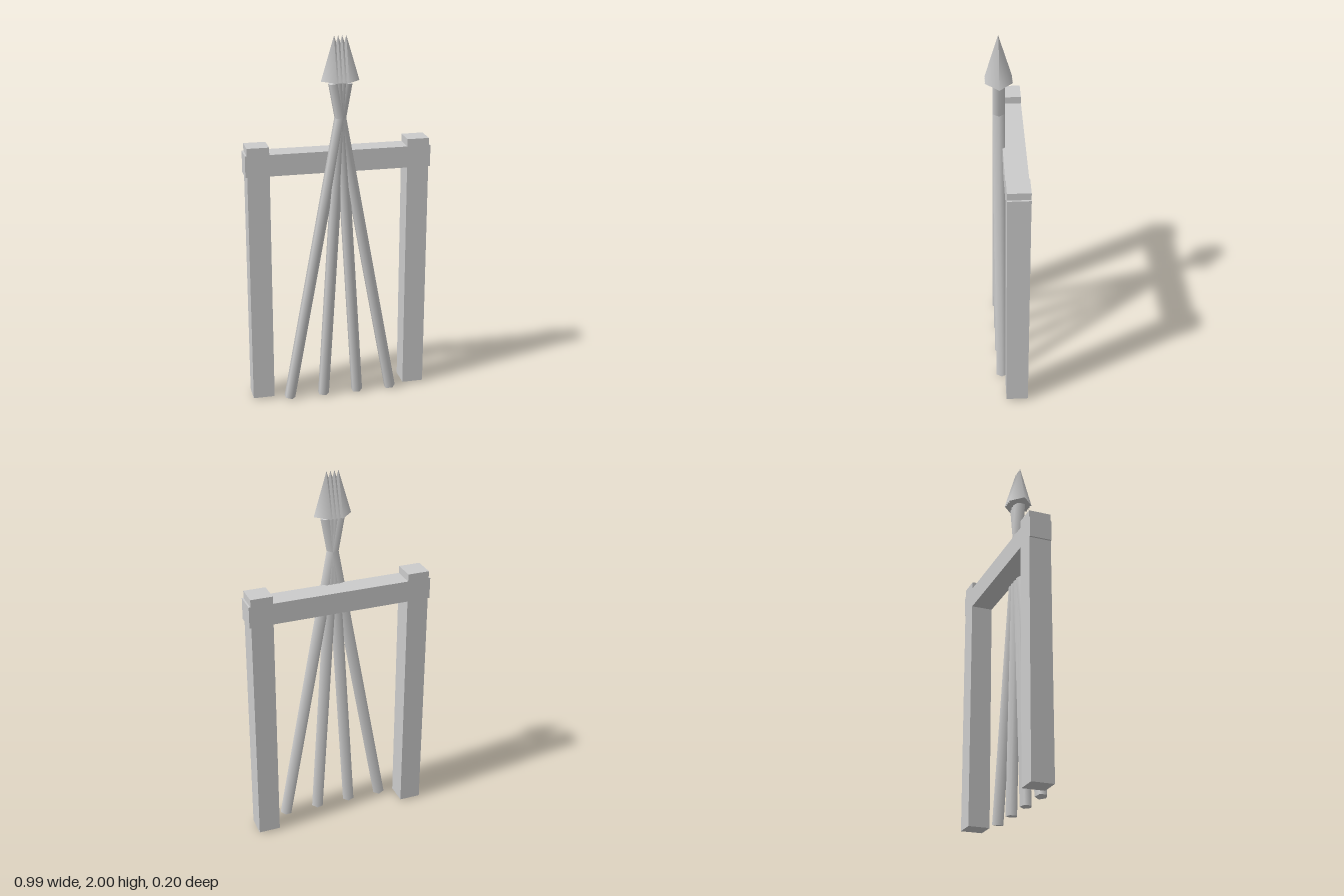
import * as THREE from 'three';

const material = new THREE.MeshStandardMaterial({ color: 0xcccccc });

function add(group, name, geometry, x, y, z) {
  const mesh = new THREE.Mesh(geometry, material);
  mesh.name = name;
  mesh.position.set(x, y, z);
  group.add(mesh);
  return mesh;
}

// Five-sided rod between two points in the plane z, one corner facing +x
function addRod(group, name, x0, y0, x1, y1, z) {
  const length = Math.hypot(x1 - x0, y1 - y0);
  const geometry = new THREE.CylinderGeometry(0.032, 0.032, length, 5, 1, false, Math.PI / 2);
  const rod = add(group, name, geometry, (x0 + x1) / 2, (y0 + y1) / 2, z);
  rod.rotation.z = -Math.atan2(x1 - x0, y1 - y0);
}

export function createModel() {
  const model = new THREE.Group();
  model.name = 'gateWithCrossedSpears';

  // Gate frame: two posts and a crossbeam
  const frame = new THREE.Group();
  frame.name = 'gateFrame';
  const depth = 0.118, frameZ = -0.044;
  for (const side of [-1, 1]) {
    add(frame, side > 0 ? 'leftPost' : 'rightPost',
      new THREE.BoxGeometry(0.117, 1.427, depth), side * 0.427, 0.7235, frameZ);
  }
  add(frame, 'crossbeam', new THREE.BoxGeometry(0.99, 0.115, depth), 0, 1.34, frameZ);
  model.add(frame);

  // Four spears fanning out below and crossing near the top
  const spears = new THREE.Group();
  spears.name = 'spears';
  const spearZ = 0.032;
  for (const k of [-1.5, -0.5, 0.5, 1.5]) {
    const outer = Math.abs(k) > 1;
    addRod(spears, 'spearShaft', k * 0.191, 0.006, -k * 0.022, outer ? 1.758 : 1.765, spearZ);
    add(spears, 'spearHead', new THREE.ConeGeometry(0.069, 0.231, 4), -k * 0.021, 1.8845, spearZ);
  }
  model.add(spears);

  return model;
}
